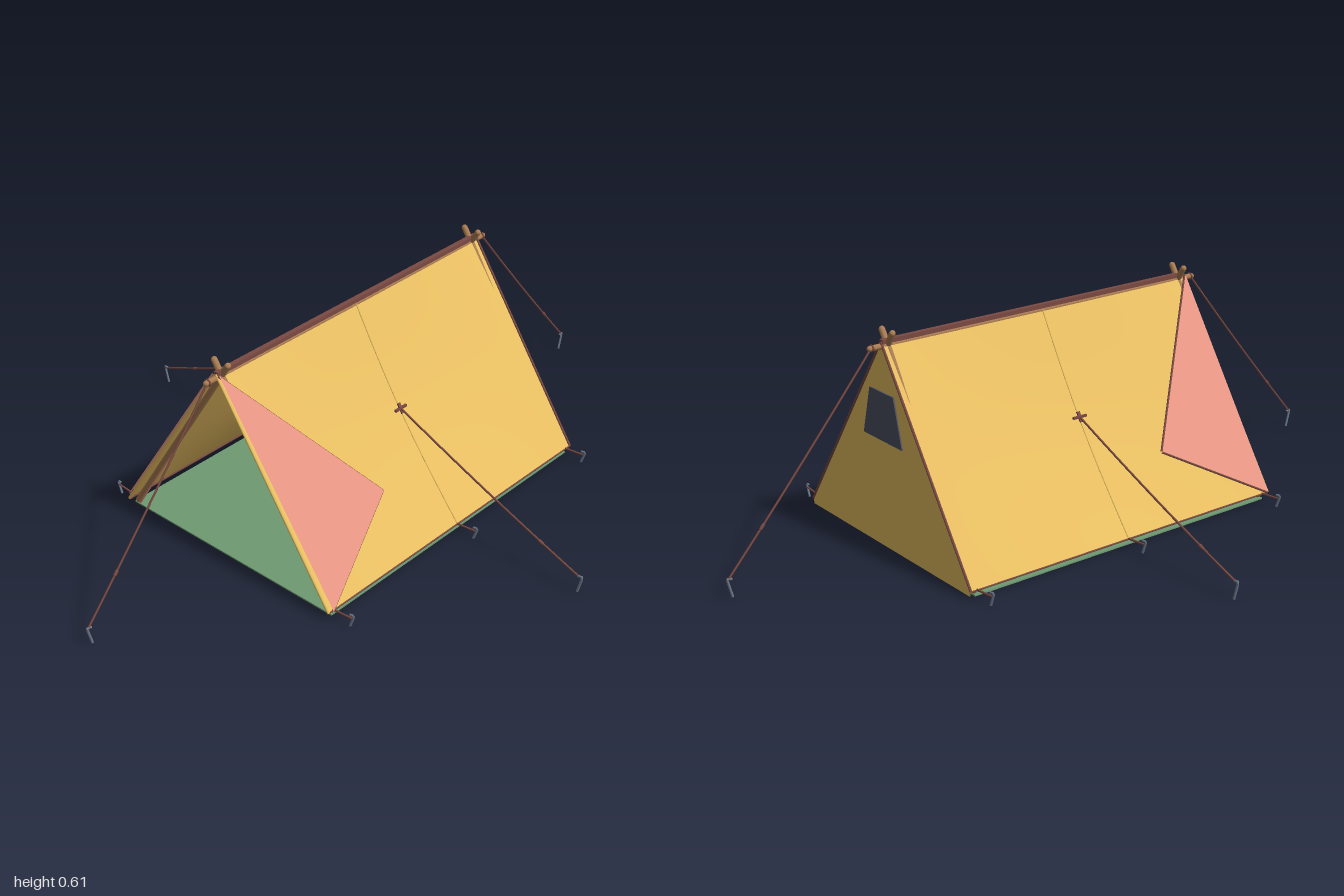
import * as THREE from 'three';

const V = (x, y, z) => new THREE.Vector3(x, y, z);
const RIDGE = 0.58, HEM = 0.02, HALF = 0.38, END = 0.52;

function material(name, color, double = false) {
  const m = new THREE.MeshStandardMaterial({ color, side: double ? THREE.DoubleSide : THREE.FrontSide });
  m.name = name;
  return m;
}

// Point on the sagging roof: u runs ridge to hem, lift is the distance outward
function roofPoint(side, u, z, lift = 0) {
  const sag = 0.018 * Math.sin(Math.PI * u) * Math.cos((Math.PI * z) / (2 * END));
  const d = lift - sag;
  return V(side * (HALF * u + 0.827 * d), RIDGE - (RIDGE - HEM) * u + 0.562 * d, z);
}

export function createModel() {
  const tent = new THREE.Group();
  tent.name = 'tent';
  const canvas = material('ochre canvas', 0xe9bf62, true);
  const lining = material('pink lining', 0xe89583, true);
  const green = material('green groundsheet', 0x6f9b72);
  const wood = material('wood', 0xaa7c52);
  const cord = material('reddish brown cord', 0x7a4a42);
  const metal = material('peg metal', 0x6f7d90);
  const mesh = material('window mesh', 0x4d5162);
  const blue = material('blue bedroll', 0x85b4e0);
  const strap = material('bedroll strap', 0x3f5a78);

  const add = (name, geo, mat, parent = tent) => {
    const m = new THREE.Mesh(geo, mat);
    m.name = name;
    parent.add(m);
    return m;
  };
  const tube = (name, pts, r, mat, seg = 1, sides = 6) => {
    const curve = pts.length === 2 ? new THREE.LineCurve3(...pts) : new THREE.CatmullRomCurve3(pts);
    return add(name, new THREE.TubeGeometry(curve, seg, r, sides), mat);
  };
  // Round pole with domed ends
  const pole = (name, a, b, r, mat) => {
    const m = add(name, new THREE.CapsuleGeometry(r, a.distanceTo(b) - 2 * r, 4, 10), mat);
    m.position.copy(a).add(b).multiplyScalar(0.5);
    m.quaternion.setFromUnitVectors(V(0, 1, 0), b.clone().sub(a).normalize());
    return m;
  };
  const polygon = (name, pts, mat) => {
    const g = new THREE.BufferGeometry().setFromPoints(pts);
    const index = [];
    for (let i = 1; i < pts.length - 1; i++) index.push(0, i, i + 1);
    g.setIndex(index);
    g.computeVertexNormals();
    return add(name, g, mat);
  };

  // Groundsheet
  add('groundsheet', new THREE.BoxGeometry(0.75, 0.004, 1.01), green).position.y = 0.003;

  // Back wall and its mesh window
  polygon('backWall', [V(0, RIDGE, -END), V(HALF, HEM, -END), V(0.375, 0.005, -END),
    V(-0.375, 0.005, -END), V(-HALF, HEM, -END)], canvas);
  const pane = new THREE.Shape([[-0.09, 0.31], [0.09, 0.31], [0.055, 0.445], [-0.055, 0.445]]
    .map(([x, y]) => new THREE.Vector2(x, y)));
  add('backWindow', new THREE.ExtrudeGeometry(pane, { depth: 0.004, bevelEnabled: false }), mesh).position.z = -0.525;

  // Ridge pole and ridge binding
  pole('ridgePole', V(0, 0.568, -0.562), V(0, 0.568, 0.562), 0.008, wood);
  add('ridgeBinding', new THREE.BoxGeometry(0.014, 0.012, 2 * END), cord).position.y = RIDGE;

  // Hooked peg leaning along the outward direction
  function peg(foot, out, height) {
    const at = (o, y) => foot.clone().addScaledVector(out, o).setY(y);
    tube('peg', [at(-0.014, 0), at(-0.003, height * 0.85), at(-0.002, height), at(-0.015, height * 0.95)],
      0.0035, metal, 10);
  }
  // Slightly slack guy line with a tensioner and a peg
  function guyLine(from, to, out, t) {
    const mid = from.clone().lerp(to, 0.5);
    mid.y -= 0.012;
    const line = new THREE.QuadraticBezierCurve3(from, mid, to);
    add('guyLine', new THREE.TubeGeometry(line, 12, 0.003, 6), cord);
    pole('tensioner', line.getPoint(t - 0.015), line.getPoint(t + 0.015), 0.0045, cord);
    peg(to, out, 0.052);
  }

  for (const s of [1, -1]) {
    // Roof panel, smooth and sagging in the middle
    const g = new THREE.PlaneGeometry(1, 1, 10, 20);
    const p = g.attributes.position;
    for (let i = 0; i < p.count; i++) {
      const q = roofPoint(s, p.getX(i) + 0.5, -s * p.getY(i) * 2 * END);
      p.setXYZ(i, q.x, q.y, q.z);
    }
    g.computeVertexNormals();
    add('roofPanel', g, canvas);

    // Centre seam, hem, canvas front edge and corded back edge
    const seam = Array.from({ length: 9 }, (_, i) => roofPoint(s, i / 8, 0));
    tube('roofSeam', seam, 0.002, canvas, 16);
    tube('roofHem', [roofPoint(s, 1, -END, -0.002), roofPoint(s, 1, END, -0.002)], 0.003, cord);
    tube('frontEdge', [roofPoint(s, 0, END), roofPoint(s, 1, END)], 0.004, canvas);
    tube('backEdge', [roofPoint(s, 0, -END), roofPoint(s, 1, -END)], 0.004, cord);

    // Folded-back door flap with bindings tucked under its free edges
    const flap = (drop) => [roofPoint(s, 0.01, END, 0.01 - drop), roofPoint(s, 1, END - 0.008, 0.013 - drop),
      roofPoint(s, 0.71, 0.2, 0.03 - drop)];
    const [top, low, tip] = flap(0);
    polygon('doorFlap', s > 0 ? [top, low, tip] : [top, tip, low], lining);
    const [topUnder, lowUnder, tipUnder] = flap(0.005);
    tube('flapBinding', [topUnder, tipUnder], 0.0035, cord);
    tube('flapBinding', [tipUnder, lowUnder], 0.004, cord);

    // Lining strip inside the doorway
    const strip = [[0.01, -0.006], [1, -0.012], [1, -0.031], [0.03, -0.012]]
      .map(([u, lift]) => roofPoint(s, u, 0.503, lift));
    polygon('doorLining', strip, lining);

    // Crossed frame poles, peg loops and pegs
    for (const z of [-0.5, 0.5])
      pole('framePole', V(s * 0.368, 0.006, z), V(-s * 0.029, 0.612, z), 0.0088, wood);
    for (const z of [-0.5, 0, 0.5]) {
      tube('pegLoop', [V(s * 0.375, HEM, z), V(s * 0.445, 0.026, z)], 0.003, cord);
      peg(V(s * 0.45, 0, z), V(s, 0, 0), 0.036);
    }

    // Side guy line with a stitched tab and toggle on the roof
    const anchor = roofPoint(s, 0.475, 0, 0.004);
    const tab = add('guyTab', new THREE.BoxGeometry(0.03, 0.004, 0.01), cord);
    tab.position.copy(anchor);
    tab.rotation.z = -s * 0.974;
    add('guyToggle', new THREE.BoxGeometry(0.007, 0.006, 0.045), cord).position.copy(anchor);
    guyLine(anchor, V(s * 0.797, 0.045, 0), V(s, 0, 0), 0.78);

    // End guy line tied around the ridge pole
    guyLine(V(0, 0.568, s * 0.55), V(0, 0.045, s * 0.997), V(0, 0, s), 0.76);
    add('lashing', new THREE.TorusGeometry(0.0085, 0.0025, 6, 14), cord).position.set(0, 0.568, s * 0.548);
  }

  // Bedroll with rounded ends and two straps
  const roll = new THREE.Group();
  roll.name = 'bedroll';
  roll.position.set(0, 0.071, -0.32);
  roll.rotation.z = Math.PI / 2;
  tent.add(roll);
  const profile = [[0, -0.138], [0.05, -0.138], [0.062, -0.134], [0.068, -0.122],
    [0.068, 0.122], [0.062, 0.134], [0.05, 0.138], [0, 0.138]].map(([r, y]) => new THREE.Vector2(r, y));
  add('bedrollBody', new THREE.LatheGeometry(profile, 28), blue, roll);
  for (const y of [-0.068, 0.068])
    add('bedrollStrap', new THREE.CylinderGeometry(0.0705, 0.0705, 0.01, 28), strap, roll).position.y = y;

  return tent;
}
